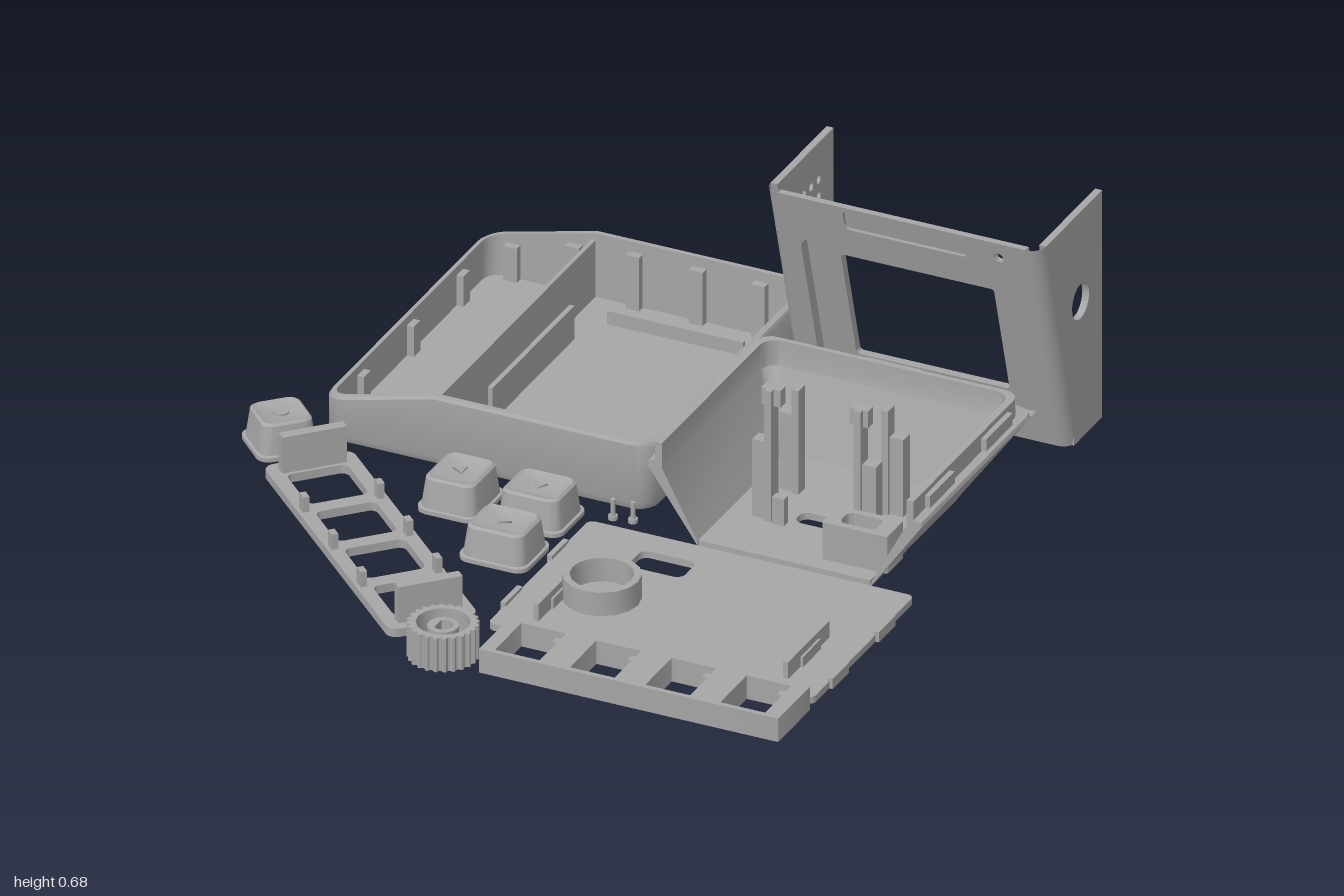
import * as THREE from 'three';
import { toCreasedNormals } from 'three/addons/utils/BufferGeometryUtils.js';

const grey = new THREE.MeshStandardMaterial({ color: 0xa6a6a6, side: THREE.DoubleSide });
grey.name = 'grey plastic';

function add(parent, name, geo) {
  const m = new THREE.Mesh(geo, grey);
  m.name = name;
  parent.add(m);
  return m;
}
function group(parent, name) {
  const g = new THREE.Group();
  g.name = name;
  parent.add(g);
  return g;
}
// box from its limits
function box(parent, name, x0, x1, y0, y1, z0, z1) {
  const g = new THREE.BoxGeometry(x1 - x0, y1 - y0, z1 - z0);
  return add(parent, name, g.translate((x0 + x1) / 2, (y0 + y1) / 2, (z0 + z1) / 2));
}
// rounded rectangle outline from its limits
function rr(x0, x1, y0, y1, r, T = THREE.Path) {
  const s = new T();
  if (r <= 0) r = 0.0005;
  s.absarc(x1 - r, y1 - r, r, 0, Math.PI / 2);
  s.absarc(x0 + r, y1 - r, r, Math.PI / 2, Math.PI);
  s.absarc(x0 + r, y0 + r, r, Math.PI, Math.PI * 1.5);
  s.absarc(x1 - r, y0 + r, r, Math.PI * 1.5, Math.PI * 2);
  s.closePath();
  return s;
}
const circle = (x, y, r) => new THREE.Path().absarc(x, y, r, 0, Math.PI * 2);
function extrude(shape, holes, depth) {
  shape.holes.push(...holes);
  return toCreasedNormals(new THREE.ExtrudeGeometry(shape, { depth, bevelEnabled: false, curveSegments: 8 }), 0.6);
}
// outline in x, z raised along y
const slab = (shape, holes, y0, h) => extrude(shape, holes, h).rotateX(Math.PI / 2).translate(0, y0 + h, 0);

// skin over rings of [x, y, z] points, with optional end caps
function loft(rings, closed, caps) {
  const n = rings[0].length, pos = rings.flat(2), idx = [];
  for (let i = 0; i < rings.length - 1; i++)
    for (let j = 0; j < (closed ? n : n - 1); j++) {
      const k = (j + 1) % n, a = i * n + j, b = i * n + k;
      idx.push(a, a + n, b, b, a + n, b + n);
    }
  if (caps) {
    const last = (rings.length - 1) * n;
    for (let j = 1; j < n - 1; j++) idx.push(0, j, j + 1, last, last + j + 1, last + j);
  }
  const g = new THREE.BufferGeometry();
  g.setAttribute('position', new THREE.Float32BufferAttribute(pos, 3));
  g.setIndex(idx);
  return toCreasedNormals(g, 0.6);
}
// rounded rectangular ring; yFn gives the height, splitX adds a point on the long edges
function ring(x0, x1, z0, z1, r, yFn, splitX) {
  const out = [];
  const corner = (cx, cz, a) => {
    for (let i = 0; i <= 5; i++) {
      const t = a + (i / 5) * Math.PI / 2;
      out.push([cx + r * Math.cos(t), cz + r * Math.sin(t)]);
    }
  };
  corner(x1 - r, z1 - r, 0);
  if (splitX !== undefined) out.push([splitX, z1]);
  corner(x0 + r, z1 - r, Math.PI / 2);
  corner(x0 + r, z0 + r, Math.PI);
  if (splitX !== undefined) out.push([splitX, z0]);
  corner(x1 - r, z0 + r, Math.PI * 1.5);
  return out.map(([x, z]) => [x, yFn(x), z]);
}

function makeTray(root) {
  const g = group(root, 'baseTray');
  const top = x => (x < -0.46 ? 0.13 + (x + 0.79) * 0.242 : 0.21 - Math.max(0, x - 0.14) * 0.3);
  const at = (inset, y) => ring(-0.79 + inset, 0.17 - inset, -1 + inset, -inset, 0.065 - inset,
    typeof y === 'number' ? () => y : y, -0.46);
  add(g, 'trayShell', loft([at(0.03, 0), at(0.01, 0.008), at(0, 0.03), at(0, x => top(x) - 0.008),
    at(0.006, top), at(0.02, top), at(0.02, 0.02)], true, true));
  box(g, 'divider', -0.475, -0.462, 0.02, 0.19, -0.98, -0.02);
  box(g, 'rib', -0.427, -0.413, 0.02, 0.12, -0.75, -0.255);
  for (const z of [-0.865, -0.14]) box(g, 'rib', -0.37, 0.025, 0.02, 0.06, z - 0.006, z + 0.006);
  // snap blocks around the walls
  for (const x of [-0.7, -0.52, -0.345, -0.16, 0.02])
    for (const z of [-0.97, -0.03]) box(g, 'wallBlock', x - 0.02, x + 0.02, 0.02, top(x) - 0.03, z - 0.012, z + 0.012);
  for (const z of [-0.8, -0.5, -0.2]) {
    box(g, 'wallBlock', -0.775, -0.75, 0.02, 0.11, z - 0.02, z + 0.02);
    box(g, 'wallBlock', 0.13, 0.155, 0.02, 0.18, z - 0.02, z + 0.02);
  }
}

function makeBezel(root) {
  const g = group(root, 'screenBezel');
  const k = 0.19 / 0.68;
  // leans a part forward with height
  const lean = geo => {
    const p = geo.attributes.position;
    for (let i = 0; i < p.count; i++) p.setZ(i, p.getZ(i) + p.getY(i) * k - 0.81);
    geo.computeVertexNormals();
    return toCreasedNormals(geo, 0.6);
  };
  const recess = [0.285, 0.915, 0.08, 0.54, 0.04], win = [0.38, 0.825, 0.14, 0.485, 0.01];
  const slot = [0.425, 0.78, 0.605, 0.67, 0.015];
  add(g, 'frontPlate', lean(extrude(rr(0.24, 0.96, 0, 0.68, 0, THREE.Shape),
    [rr(...recess), rr(...slot), circle(0.875, 0.63, 0.014)], 0.02).translate(0, 0, -0.02)));
  add(g, 'slotBack', lean(extrude(rr(0.41, 0.79, 0.6, 0.675, 0, THREE.Shape), [], 0.008).translate(0, 0, -0.02)));
  add(g, 'windowTunnel', lean(extrude(rr(0.265, 0.935, 0.06, 0.56, 0.05, THREE.Shape), [rr(...recess)], 0.055).translate(0, 0, -0.06)));
  add(g, 'windowFrame', lean(extrude(rr(0.275, 0.925, 0.07, 0.55, 0.03, THREE.Shape), [rr(...win)], 0.025).translate(0, 0, -0.06)));
  for (const x of [0.34, 0.865])
    add(g, 'screenClip', lean(new THREE.BoxGeometry(0.014, 0.36, 0.06).translate(x, 0.31, -0.085)));
  for (const [x, a] of [[0.96, 0], [0.24, -Math.PI / 2]])
    add(g, 'roundedCorner', lean(new THREE.CylinderGeometry(0.04, 0.04, 0.68, 8, 1, true, a, Math.PI / 2).translate(x, 0.34, -0.04)));
  // side walls
  const wall = () => new THREE.Shape([[-1, 0], [-0.85, 0], [-0.66, 0.68], [-1, 0.68]].map(p => new THREE.Vector2(...p)));
  const vents = [];
  for (let i = 0; i < 4; i++) vents.push(rr(-0.95, -0.84, 0.1 + i * 0.06, 0.122 + i * 0.06, 0.01));
  for (let i = 0; i < 6; i++) vents.push(circle(-0.91 + (i % 3) * 0.045, 0.52 + Math.floor(i / 3) * 0.05, 0.012));
  const side = (x, holes, name) => add(g, name, extrude(wall(), holes, 0.02).rotateY(-Math.PI / 2).translate(x, 0, 0));
  side(1, [circle(-0.87, 0.412, 0.052)], 'knobSideWall');
  side(0.22, vents, 'ventedSideWall');
  box(g, 'bottomWall', 0.2, 1, 0, 0.02, -1, -0.83);
  box(g, 'bottomFrontEdge', 0.24, 0.96, 0, 0.02, -0.84, -0.81);
  box(g, 'floorRib', 0.52, 0.68, 0.02, 0.03, -0.975, -0.96);
}

function makeCover(root) {
  const g = group(root, 'rearCover');
  const zF = 0.09;
  // profile of [side inset, back z, height], outside up and inside down
  const prof = [[0.15, -0.44, 0], [0, -0.598, 0.215], [0.004, -0.595, 0.225], [0.025, -0.565, 0.23],
    [0.025, -0.56, 0.285], [0.045, -0.545, 0.285], [0.045, -0.545, 0.21], [0.145, -0.43, 0.02], [0.15, -0.43, 0]];
  const r = 0.045;
  const path = ([i, zb, y]) => {
    const x0 = 0.2 + i, x1 = 1 - i, pts = [[x0, y, zF]];
    for (const [cx, a] of [[x0 + r, Math.PI], [x1 - r, Math.PI * 1.5]])
      for (let s = 0; s <= 5; s++) {
        const t = a + (s / 5) * Math.PI / 2;
        pts.push([cx + r * Math.cos(t), y, zb + r + r * Math.sin(t)]);
      }
    return [...pts, [x1, y, zF]];
  };
  add(g, 'taperedWalls', loft(prof.map(path), false, false));
  for (const s of [1, -1]) {
    const cap = new THREE.Shape(prof.map(([i, , y]) => new THREE.Vector2(0.6 + s * (0.4 - i), y)));
    add(g, 'wallFrontEdge', new THREE.ShapeGeometry(cap).translate(0, 0, zF));
  }
  add(g, 'coverFloor', slab(rr(0.35, 0.85, -0.44, zF, 0.005, THREE.Shape),
    [rr(0.53, 0.67, -0.17, -0.11, 0.025), rr(0.725, 0.83, -0.04, 0.02, 0.02)], 0, 0.02));
  add(g, 'portSurround', slab(rr(0.685, 0.875, -0.06, 0.04, 0.004, THREE.Shape),
    [rr(0.725, 0.83, -0.04, 0.02, 0.02)], 0.02, 0.11));
  // board clips, mirrored about the cover's middle
  for (const s of [1, -1]) {
    const X = d => 0.6 + s * d;
    const bar = (name, a, b, y0, y1, z0, z1) => box(g, name, Math.min(X(a), X(b)), Math.max(X(a), X(b)), y0, y1, z0, z1);
    bar('tallClip', 0.12, 0.14, 0.02, 0.41, -0.125, -0.08);
    bar('tallClipHook', 0.1, 0.155, 0.36, 0.41, -0.125, -0.095);
    bar('tallClipFoot', 0.14, 0.18, 0.02, 0.25, -0.13, -0.09);
    bar('shortClip', 0.12, 0.14, 0.02, 0.33, -0.285, -0.245);
    bar('shortClipFoot', 0.14, 0.18, 0.02, 0.25, -0.295, -0.255);
    bar('boardStop', 0.08, 0.115, 0.02, 0.1, -0.1, -0.075);
    bar('sideTab', 0.37, 0.39, 0.235, 0.27, -0.48, -0.32);
    bar('sideTab', 0.37, 0.39, 0.235, 0.27, -0.13, 0.02);
  }
  box(g, 'backTab', 0.52, 0.68, 0.24, 0.275, -0.58, -0.56);
}

function makeLid(root) {
  const g = group(root, 'bottomPlate');
  add(g, 'plate', slab(rr(0.045, 0.99, 0.115, 0.73, 0.02, THREE.Shape), [rr(0.24, 0.4, 0.2, 0.295, 0.025)], 0, 0.02));
  const collar = new THREE.Shape().absarc(0.255, 0.475, 0.105, 0, Math.PI * 2);
  add(g, 'batteryRing', slab(collar, [circle(0.255, 0.475, 0.085)], 0.02, 0.07));
  for (const x of [0.155, 0.88]) {
    box(g, 'plateRib', x - 0.007, x + 0.007, 0.02, 0.07, 0.415, 0.665);
    box(g, 'plateRibFoot', x - 0.014, x + 0.014, 0.02, 0.05, 0.48, 0.59);
  }
  for (const z of [0.3, 0.58]) for (const x of [0.04, 0.99]) box(g, 'plateTab', x - 0.005, x + 0.01, 0, 0.03, z - 0.05, z + 0.05);
}

function makeStrip(root) {
  const g = group(root, 'switchHolder');
  const starts = [0.165, 0.383, 0.602, 0.82];
  add(g, 'holderFrame', slab(rr(0.125, 0.995, 0.755, 0.95, 0.002, THREE.Shape),
    starts.map(x => rr(x, x + 0.13, 0.775, 0.935, 0.003)), 0, 0.07));
  for (const x of starts) {
    box(g, 'switchStop', x, x + 0.03, 0, 0.05, 0.91, 0.935);
    box(g, 'switchStop', x + 0.1, x + 0.13, 0, 0.05, 0.775, 0.8);
  }
}

function makeRail(root) {
  const g = group(root, 'keyRail');
  g.position.set(-0.42, 0, 0.468);
  g.rotation.y = -0.765;
  const us = [-0.322, -0.107, 0.107, 0.322];
  add(g, 'railPlate', slab(rr(-0.475, 0.475, -0.125, 0.125, 0.03, THREE.Shape),
    us.map(u => rr(u - 0.085, u + 0.085, -0.085, 0.085, 0.02)), 0, 0.025));
  for (const s of [1, -1]) {
    box(g, 'endClip', s * 0.432 - 0.015, s * 0.432 + 0.015, 0.02, 0.132, -0.09, 0.09);
    for (const u of [-0.215, 0, 0.215]) box(g, 'railPeg', u - 0.015, u + 0.015, 0.02, 0.07, s * 0.105 - 0.009, s * 0.105 + 0.009);
  }
}

function makeKey(root, x, z, w, d, turn, arrow) {
  const g = group(root, 'keyCap');
  g.position.set(x, 0, z);
  g.rotation.y = turn;
  const at = (i, y) => ring(-w / 2 + i, w / 2 - i, -d / 2 + i, d / 2 - i, 0.035 - i * 0.4, () => y);
  add(g, 'keyBody', loft([at(0, 0), at(0, 0.012), at(0.008, 0.014), at(0.018, 0.094), at(0.025, 0.1), at(0.035, 0.095)], true, true));
  add(g, 'keyMark', new THREE.CylinderGeometry(0.022, 0.022, 0.006, arrow ? 3 : 16).rotateY(arrow || 0).translate(0, 0.097, 0));
}

function makeWheel(root) {
  const g = group(root, 'dialWheel');
  g.position.set(0, 0, 0.905);
  const rim = [];
  for (let i = 0; i < 96; i++) {
    const r = i % 4 < 2 ? 0.096 : 0.088, a = (i / 96) * Math.PI * 2;
    rim.push(new THREE.Vector2(r * Math.cos(a), r * Math.sin(a)));
  }
  add(g, 'knurledRim', slab(new THREE.Shape(rim), [circle(0, 0, 0.072)], 0, 0.1));
  add(g, 'wheelFloor', new THREE.CylinderGeometry(0.075, 0.075, 0.03, 32).translate(0, 0.015, 0));
  const d = new THREE.Path().absarc(0, 0, 0.026, -2.2, 2.2);
  d.closePath();
  add(g, 'shaftBoss', slab(new THREE.Shape().absarc(0, 0, 0.042, 0, Math.PI * 2), [d], 0.03, 0.06));
}

export function createModel() {
  const root = new THREE.Group();
  root.name = 'enclosureParts';
  makeTray(root);
  makeBezel(root);
  makeCover(root);
  makeLid(root);
  makeStrip(root);
  makeRail(root);
  makeWheel(root);
  makeKey(root, -0.877, 0.06, 0.175, 0.175, Math.PI / 4, 0);
  makeKey(root, -0.316, 0.14, 0.18, 0.2, 0, 0.52);
  makeKey(root, -0.094, 0.125, 0.2, 0.18, 0, 2.09);
  makeKey(root, -0.094, 0.338, 0.2, 0.18, 0, 1.57);
  for (const [x, z] of [[0.083, 0.05], [0.138, 0.043]]) {
    const g = group(root, 'pin');
    add(g, 'pinStem', new THREE.CylinderGeometry(0.007, 0.007, 0.06, 12).translate(x, 0.03, z));
    add(g, 'pinHead', new THREE.CylinderGeometry(0.013, 0.013, 0.012, 12).translate(x, 0.006, z));
  }
  return root;
}
